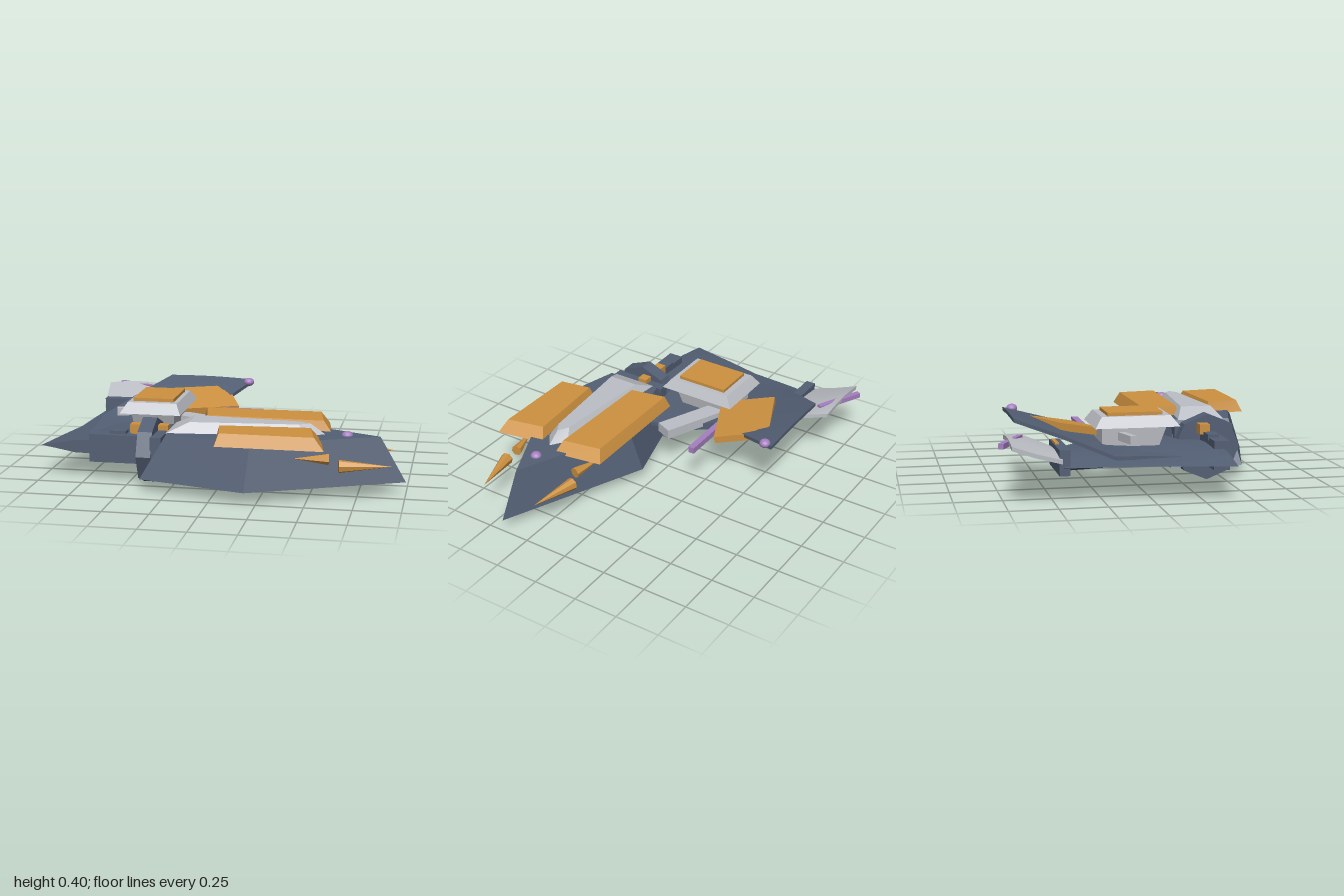
import * as THREE from 'three';
import { toCreasedNormals } from 'three/addons/utils/BufferGeometryUtils.js';

export function createModel() {
  const model = new THREE.Group();
  const paint = (name, color) => {
    const m = new THREE.MeshStandardMaterial({ color });
    m.name = name;
    return m;
  };
  const slate = paint('slate', 0x535f74);
  const grey = paint('pale grey', 0xbcbfc5);
  const orange = paint('orange', 0xcd9140);
  const purple = paint('purple', 0xa67fc0);

  const add = (name, geo, mat, x = 0, y = 0, z = 0) => {
    const mesh = new THREE.Mesh(geo, mat);
    mesh.name = name;
    mesh.position.set(x, y, z);
    model.add(mesh);
    return mesh;
  };

  // closed solid through equal-length rings of [x, y, z]
  function loft(rings, crease = 0.3) {
    const n = rings[0].length, pos = rings.flat(2), idx = [];
    for (let r = 0; r < rings.length - 1; r++) {
      for (let i = 0; i < n; i++) {
        const a = r * n + i, b = r * n + (i + 1) % n;
        idx.push(a, b, a + n, b, b + n, a + n);
      }
    }
    [0, rings.length - 1].forEach((r) => {
      const c = pos.length / 3;
      for (let k = 0; k < 3; k++) pos.push(rings[r].reduce((s, p) => s + p[k], 0) / n);
      for (let i = 0; i < n; i++) {
        const a = r * n + i, b = r * n + (i + 1) % n;
        idx.push(...(r ? [a, b, c] : [b, a, c]));
      }
    });
    // turn the faces outward if the volume is negative
    const v = (i) => new THREE.Vector3().fromArray(pos, i * 3);
    let volume = 0;
    for (let i = 0; i < idx.length; i += 3) volume += v(idx[i]).dot(v(idx[i + 1]).cross(v(idx[i + 2])));
    if (volume < 0) idx.reverse();
    const geo = new THREE.BufferGeometry();
    geo.setAttribute('position', new THREE.Float32BufferAttribute(pos, 3));
    geo.setIndex(idx);
    return toCreasedNormals(geo, crease);
  }
  const prism = (low, y0, high, y1) =>
    loft([low.map(([x, z]) => [x, y0, z]), high.map(([x, z]) => [x, y1, z])]);
  const rect = (x0, x1, z0, z1) => [[x0, z0], [x1, z0], [x1, z1], [x0, z1]];

  // thin curved panel; rows are [z, x0, x1, y0, y1]
  function panel(rows, thick, bulge) {
    const n = 8;
    return loft(rows.map(([z, x0, x1, y0, y1]) => {
      const top = [];
      for (let i = 0; i <= n; i++) {
        const t = i / n;
        top.push([x0 + (x1 - x0) * t, y0 + (y1 - y0) * t + bulge * Math.sin(Math.PI * t), z]);
      }
      return [...top, ...top.map(([x, y, w]) => [x, y - thick, w]).reverse()];
    }), 0.6);
  }
  const box = (name, mat, x0, x1, y0, y1, z0, z1) =>
    add(name, new THREE.BoxGeometry(x1 - x0, y1 - y0, z1 - z0), mat,
      (x0 + x1) / 2, (y0 + y1) / 2, (z0 + z1) / 2);

  // pointed hull, narrower at the deck
  const outline = [[1, 0.41], [0.19, 0.05], [-0.4, 0.21], [-0.4, 0.61], [0.19, 0.77]];
  const deck = outline.map(([x, z]) => [0.3 + (x - 0.3) * 0.8, 0.41 + (z - 0.41) * 0.8]);
  add('hull', prism(outline, 0.07, deck, 0.312), slate);

  // raised spine on the deck
  add('spine', prism(
    [[-0.27, 0.28], [0.48, 0.345], [0.57, 0.41], [0.48, 0.475], [-0.27, 0.54]], 0.31,
    [[-0.15, 0.325], [0.43, 0.375], [0.49, 0.41], [0.43, 0.445], [-0.15, 0.495]], 0.367), grey);

  // deck blocks
  add('rightDeckBlock', prism(
    [[-0.15, 0.085], [0.555, 0.08], [0.6, 0.35], [-0.1, 0.33]], 0.3,
    [[-0.13, 0.11], [0.51, 0.11], [0.55, 0.325], [-0.09, 0.31]], 0.365), orange);
  add('leftDeckBlock', prism(
    [[0, 0.51], [0.55, 0.47], [0.6, 0.74], [0.03, 0.735]], 0.3,
    [[0.02, 0.53], [0.5, 0.5], [0.545, 0.71], [0.05, 0.705]], 0.365), orange);

  // spikes along both sides of the bow
  function spike(name, base, tip, radius) {
    const a = new THREE.Vector3(...base), d = new THREE.Vector3(...tip).sub(a);
    const mesh = add(name, new THREE.ConeGeometry(radius, d.length(), 7).toNonIndexed(), orange);
    mesh.geometry.computeVertexNormals();
    mesh.position.copy(a).addScaledVector(d, 0.5);
    mesh.quaternion.setFromUnitVectors(new THREE.Vector3(0, 1, 0), d.normalize());
  }
  for (const s of [-1, 1]) {
    spike('bowSpike', [0.665, 0.2, 0.41 + s * 0.225], [0.935, 0.197, 0.41 + s * 0.17], 0.035);
    spike('sideSpike', [0.61, 0.228, 0.41 + s * 0.2], [0.43, 0.235, 0.41 + s * 0.24], 0.03);
  }

  // lamps
  for (const [x, y, z] of [[0.685, 0.31, 0.41], [-0.02, 0.366, -0.61]]) {
    add('lamp', new THREE.SphereGeometry(0.031, 16, 10), purple, x, y, z).scale.y = 0.8;
  }

  // eight-sided collar behind the hull
  const collar = add('collar', toCreasedNormals(new THREE.CylinderGeometry(0.18, 0.18, 0.08, 8), 0.3),
    slate, -0.385, 0.183, 0.405);
  collar.rotation.z = Math.PI / 2;
  box('collarBlock', slate, -0.35, -0.29, 0.12, 0.29, 0.24, 0.57);
  box('frontArm', slate, -0.72, -0.38, 0.11, 0.265, 0.365, 0.45);
  box('armCap', slate, -0.61, -0.52, 0.25, 0.282, 0.36, 0.42);
  box('armStripe', orange, -0.5, -0.29, 0.265, 0.318, 0.345, 0.4);

  // lower wing, lens-shaped in section
  add('lowerWing', loft([[0.415, -1, -0.35], [0.17, -0.955, -0.06], [-0.05, -0.91, -0.14],
    [-0.25, -0.9, -0.28], [-0.45, -0.885, -0.5]].map(([z, a, b]) => {
    const w = b - a;
    return [[a, 0.183, z], [a + w * 0.3, 0.22, z], [a + w * 0.65, 0.23, z], [b, 0.215, z],
      [b, 0.19, z], [a + w * 0.65, 0.15, z], [a + w * 0.3, 0.148, z]];
  }), 0.5), slate);

  // upper wing sweeping up to the back
  add('upperWing', panel([
    [0.17, -0.8, -0.06, 0.205, 0.21], [0, -0.8, -0.12, 0.215, 0.22],
    [-0.18, -0.82, -0.22, 0.222, 0.24], [-0.42, -0.665, -0.1, 0.31, 0.32],
    [-0.66, -0.51, 0, 0.383, 0.372]], 0.02, 0.006), slate);

  // tilted plate set into the upper wing
  const plate = add('wingPlate', new THREE.BoxGeometry(0.38, 0.04, 0.31), orange, -0.26, 0.3, -0.35);
  plate.rotation.set(0.2, 0.42, 0, 'YXZ');
  box('wingBar', purple, -0.18, 0.13, 0.25, 0.285, -0.25, -0.215);

  // turret with its base, struts and lid
  add('turretBase', prism(rect(-0.55, -0.33, -0.2, 0.1), 0.2, rect(-0.56, -0.31, -0.2, 0.15), 0.335), grey);
  add('turret', prism(rect(-0.61, -0.265, -0.245, 0.21), 0.33, rect(-0.575, -0.295, -0.205, 0.165), 0.387), grey);
  box('turretLid', orange, -0.55, -0.32, 0.385, 0.405, -0.17, 0.127);
  const strut = add('turretStrut', new THREE.BoxGeometry(0.42, 0.055, 0.1), grey, -0.18, 0.24, -0.06);
  strut.rotation.y = -0.42;
  const peg = add('turretPeg', new THREE.BoxGeometry(0.2, 0.045, 0.035), grey, -0.6, 0.28, -0.085);
  peg.rotation.y = 0.25;

  // tail panel with its cross-beam and rod
  box('tailBeam', slate, -0.87, -0.52, 0.14, 0.272, -0.475, -0.42);
  box('tailBeamStripe', orange, -0.69, -0.55, 0.265, 0.279, -0.47, -0.45);
  add('tailPanel', panel([[-0.46, -0.885, -0.54, 0.225, 0.235], [-0.6, -0.905, -0.5, 0.265, 0.29],
    [-0.72, -0.92, -0.555, 0.308, 0.308]], 0.022, 0.014), grey);
  const rod = add('tailRod', new THREE.BoxGeometry(0.285, 0.028, 0.028), purple, -0.728, 0.3, -0.703);
  rod.rotation.y = -0.46;

  return model;
}
